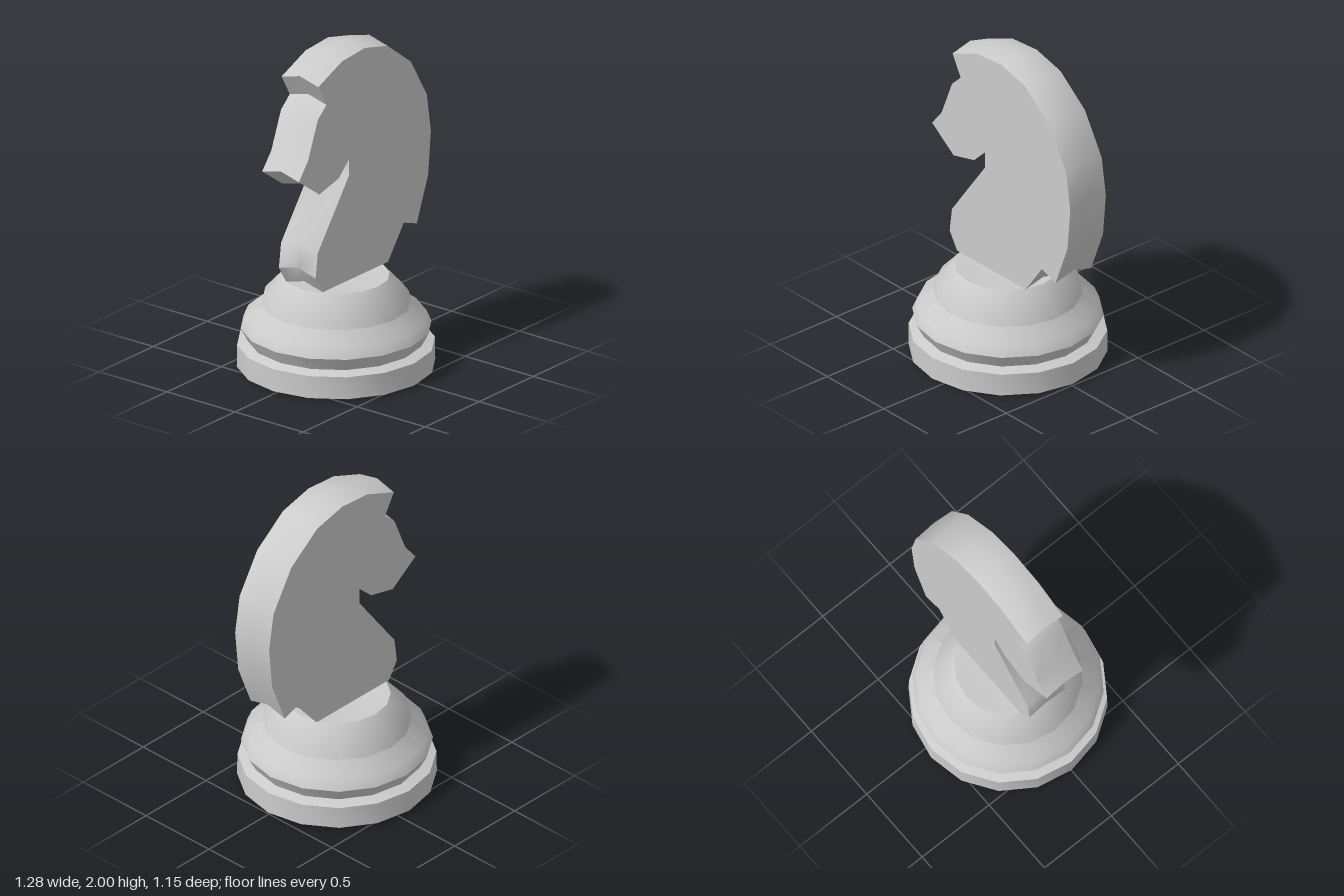
import * as THREE from 'three';
import { toCreasedNormals } from 'three/addons/utils/BufferGeometryUtils.js';

const material = new THREE.MeshStandardMaterial({ color: 0xcccccc, side: THREE.DoubleSide });

function part(name, geometry, crease) {
  const mesh = new THREE.Mesh(toCreasedNormals(geometry, crease), material);
  mesh.name = name;
  return mesh;
}

// Turned base: sixteen sides, stacked mouldings, shallow dish on top
function createBase() {
  const profile = [
    [0, 0], [0.575, 0.015], [0.573, 0.15], [0.51, 0.17], [0.553, 0.25], [0.525, 0.315],
    [0.43, 0.385], [0.423, 0.44], [0.31, 0.562], [0, 0.53],
  ].map(([r, y]) => new THREE.Vector2(r, y));
  const base = part('base', new THREE.LatheGeometry(profile, 16), 0.85);
  base.position.x = -0.067;
  return base;
}

// Horse head: flat slab whose middle section is raised a little
function createHead() {
  const thickness = 0.27, rise = 0.035;
  const outline = [
    [-0.36, 0.575], [0.245, 0.575], [0.39, 0.772], [0.51, 0.73], // neck foot and mane end
    [0.615, 1.0], [0.64, 1.265], [0.603, 1.5], [0.455, 1.75], // mane
    [0.24, 1.915], [0.03, 1.967], [-0.18, 1.95], [-0.4, 1.858], // crown and ear tip
    [-0.325, 1.725], [-0.405, 1.655], [-0.495, 1.43], [-0.58, 1.325], // brow and nose
    [-0.39, 1.19], [-0.21, 1.235], [-0.115, 1.325], // jaw
    [-0.115, 1.225], [-0.405, 0.83], [-0.425, 0.68], // throat and chest
  ].map(([x, y]) => new THREE.Vector2(x, y));
  const geometry = new THREE.ExtrudeGeometry(new THREE.Shape(outline), {
    depth: thickness, steps: 2, bevelEnabled: false,
  });
  geometry.translate(0, 0, -thickness / 2);
  const position = geometry.attributes.position;
  for (let i = 0; i < position.count; i++) {
    if (Math.abs(position.getZ(i)) < 0.01) position.setY(i, position.getY(i) + rise);
  }
  return part('horseHead', geometry, 0.7);
}

export function createModel() {
  const model = new THREE.Group();
  model.name = 'chessKnight';
  model.add(createBase(), createHead());
  return model;
}
